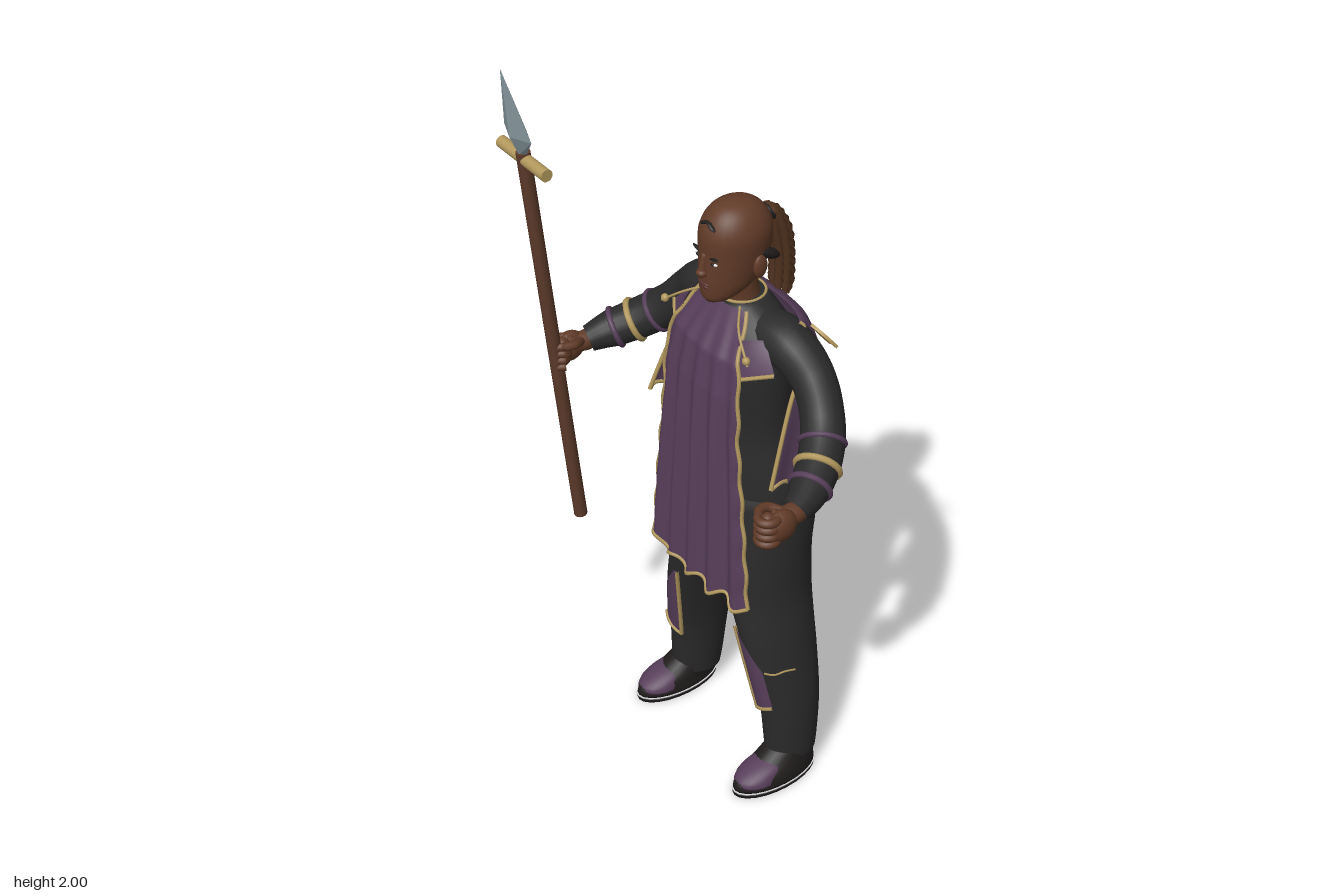
import * as THREE from 'three';
import { ParametricGeometry } from 'three/addons/geometries/ParametricGeometry.js';

const CX = 0.03; // body centre line
const V = (x, y, z) => new THREE.Vector3(x, y, z);
const lerp = THREE.MathUtils.lerp;
const mat = (name, color, side = THREE.FrontSide) => Object.assign(new THREE.MeshStandardMaterial({ color, side }), { name });

// Smooth closed body through horizontal ellipses [x, y, z, rx, rz], bottom to top
function loft(sections, segs = 24, rings = 30) {
  const centres = new THREE.CatmullRomCurve3(sections.map(s => V(s[0], s[1], s[2])), false, 'catmullrom', 0.5);
  const radii = new THREE.CatmullRomCurve3(sections.map(s => V(s[3], s[4], 0)), false, 'catmullrom', 0.5);
  const pos = [], idx = [];
  for (let i = 0; i <= rings; i++) {
    const c = centres.getPoint(i / rings), r = radii.getPoint(i / rings);
    for (let j = 0; j < segs; j++) {
      const a = j / segs * Math.PI * 2;
      pos.push(c.x + r.x * Math.cos(a), c.y, c.z + r.y * Math.sin(a));
    }
  }
  const low = pos.length / 3, last = sections.length - 1;
  pos.push(...sections[0].slice(0, 3), ...sections[last].slice(0, 3));
  for (let j = 0; j < segs; j++) {
    const k = (j + 1) % segs, top = rings * segs;
    for (let i = 0; i < rings; i++) {
      const a = i * segs + j, b = i * segs + k;
      idx.push(a, a + segs, b, b, a + segs, b + segs);
    }
    idx.push(low, j, k, low + 1, top + k, top + j);
  }
  const g = new THREE.BufferGeometry();
  g.setAttribute('position', new THREE.Float32BufferAttribute(pos, 3));
  g.setIndex(idx);
  g.computeVertexNormals();
  return g;
}

// Tube whose radius follows a function of its length
function sweep(curve, radius, steps = 32, sides = 14) {
  const g = new THREE.TubeGeometry(curve, steps, 1, sides), p = g.attributes.position, v = V(0, 0, 0);
  for (let i = 0; i <= steps; i++) {
    const c = curve.getPointAt(i / steps), r = radius(i / steps);
    for (let j = 0; j <= sides; j++) {
      const n = i * (sides + 1) + j;
      v.fromBufferAttribute(p, n).sub(c).multiplyScalar(r).add(c);
      p.setXYZ(n, v.x, v.y, v.z);
    }
  }
  return g;
}
const table = list => t => {
  const f = t * (list.length - 1), i = Math.min(Math.floor(f), list.length - 2);
  return lerp(list[i], list[i + 1], f - i);
};
const squarer = x => Math.sign(x) * Math.pow(Math.abs(x), 0.75);

export function createModel() {
  const model = new THREE.Group();
  const suit = mat('black cloth', 0x2a2a2b), purple = mat('purple cloth', 0x573e5a, THREE.DoubleSide);
  const skin = mat('brown skin', 0x613b28), gold = mat('gold trim', 0xb2985d);
  const steel = mat('steel', 0x87979f), wood = mat('wood', 0x5c3a2a);
  const braid = mat('braid brown', 0x50321f), dark = mat('dark hair', 0x211d1d);
  const white = mat('white', 0xdcdcdc), lip = mat('lips', 0x55302a);

  const add = (name, geo, m, parent = model) => {
    const mesh = new THREE.Mesh(geo, m);
    mesh.name = name;
    parent.add(mesh);
    return mesh;
  };
  const ball = (name, m, p, r, parent) => {
    const b = add(name, new THREE.SphereGeometry(1, 16, 12), m, parent);
    b.position.set(...p);
    b.scale.set(...r);
    return b;
  };
  // Cloth sheet with gold tubes along the chosen edges
  const cloth = (name, fn, nu, nv, edges) => {
    add(name, new ParametricGeometry(fn, nu, nv), purple);
    for (const e of edges) {
      const pts = [];
      for (let i = 0; i <= 40; i++) {
        const t = i / 40, q = V(0, 0, 0);
        fn(e === 'left' ? 0 : e === 'right' ? 1 : t, e === 'bottom' ? 1 : t, q);
        pts.push(q);
      }
      add(name + ' trim', new THREE.TubeGeometry(new THREE.CatmullRomCurve3(pts), 80, 0.0058, 6), gold);
    }
  };

  // Torso, collar, neck and head
  add('torso', loft([[CX, 0.74, -0.09, 0.06, 0.06], [CX, 0.81, -0.1, 0.165, 0.108], [CX, 0.9, -0.102, 0.204, 0.134],
    [CX, 1.0, -0.092, 0.19, 0.122], [CX, 1.12, -0.085, 0.165, 0.11], [CX, 1.28, -0.075, 0.172, 0.113],
    [CX, 1.38, -0.08, 0.17, 0.105], [CX, 1.43, -0.085, 0.125, 0.08], [CX, 1.47, -0.08, 0.062, 0.058]]), suit);
  const collar = add('collar edge', new THREE.TorusGeometry(0.06, 0.004, 6, 32), gold);
  collar.position.set(CX, 1.469, -0.08);
  collar.rotation.x = Math.PI / 2;
  add('neck', loft([[CX, 1.42, -0.085, 0.056, 0.054], [CX, 1.49, -0.07, 0.05, 0.05], [CX, 1.56, -0.06, 0.05, 0.055]], 20, 8), skin);
  add('head', loft([[CX, 1.475, 0, 0.02, 0.025], [CX, 1.49, -0.01, 0.043, 0.045], [CX, 1.52, -0.035, 0.062, 0.073],
    [CX, 1.56, -0.05, 0.072, 0.088], [CX, 1.61, -0.058, 0.079, 0.095], [CX, 1.66, -0.06, 0.081, 0.095],
    [CX, 1.7, -0.06, 0.066, 0.077], [CX, 1.725, -0.06, 0.04, 0.048], [CX, 1.735, -0.06, 0.008, 0.01]], 28, 36), skin);

  // Face
  ball('nose tip', skin, [CX, 1.562, 0.04], [0.015, 0.011, 0.015]);
  add('nose bridge', loft([[CX, 1.56, 0.038, 0.012, 0.014], [CX, 1.585, 0.035, 0.009, 0.012], [CX, 1.615, 0.031, 0.008, 0.008]], 12, 8), skin);
  ball('upper lip', lip, [CX, 1.532, 0.034], [0.023, 0.005, 0.009]);
  ball('lower lip', lip, [CX, 1.523, 0.032], [0.02, 0.006, 0.009]);
  for (const s of [-1, 1]) {
    ball('eye', white, [CX + s * 0.031, 1.596, 0.026], [0.012, 0.004, 0.006]);
    ball('pupil', dark, [CX + s * 0.03, 1.596, 0.03], [0.006, 0.0045, 0.004]);
    ball('eyebrow', dark, [CX + s * 0.032, 1.611, 0.029], [0.02, 0.004, 0.005]).rotation.z = s * 0.15;
    ball('ear', skin, [CX + s * 0.08, 1.578, -0.075], [0.01, 0.031, 0.02]);
    ball('side hair streak', dark, [CX + s * 0.064, 1.595, -0.112], [0.016, 0.014, 0.036]).rotation.x = -0.5;
    ball('brow hair curl', dark, [CX + s * 0.014, 1.69, 0.022], [0.016, 0.0045, 0.008]).rotation.z = -s * 0.5;
  }

  // Braided ponytail
  for (let i = 0; i < 8; i++) {
    const a = i / 7 * Math.PI * 2, r = i < 7 ? 1 : 0, dx = r * Math.cos(a) * 0.024, dz = r * Math.sin(a) * 0.021;
    const path = new THREE.CatmullRomCurve3([V(CX, 1.66, -0.135), V(CX + dx * 0.5, 1.672, -0.16 + dz * 0.3),
      V(CX + dx * 0.9, 1.62, -0.185 + dz), V(CX + dx, 1.53, -0.2 + dz), V(CX + dx * 0.8, 1.41 + (i % 3) * 0.015, -0.2 + dz)]);
    add('braid', sweep(path, t => (0.0125 + 0.002 * Math.sin(t * 75)) * Math.min(1, (1.02 - t) * 8), 50, 8), braid);
  }
  const tie = add('hair tie', new THREE.TorusGeometry(0.019, 0.008, 8, 20), dark);
  tie.position.set(CX, 1.665, -0.155);
  tie.rotation.x = 0.5;

  for (const s of [-1, 1]) {
    const X = d => CX + s * d;
    // Trousers and shoes
    add('leg', loft([[X(0.22), 0.06, -0.1, 0.058, 0.07], [X(0.22), 0.1, -0.1, 0.061, 0.078], [X(0.21), 0.25, -0.1, 0.066, 0.09],
      [X(0.183), 0.4, -0.09, 0.07, 0.108], [X(0.16), 0.5, -0.086, 0.076, 0.115], [X(0.13), 0.6, -0.087, 0.088, 0.122],
      [X(0.112), 0.72, -0.09, 0.1, 0.126], [X(0.105), 0.82, -0.1, 0.1, 0.13], [X(0.1), 0.93, -0.1, 0.095, 0.115]]), suit);
    const shoe = (name, y0, y1, z, rx, rz, m) => add(name, loft([[X(0.232), y0, z, rx, rz], [X(0.232), y1, z, rx, rz]], 24, 1), m);
    shoe('sole', 0, 0.012, -0.035, 0.061, 0.134, dark);
    shoe('sole line', 0.012, 0.017, -0.035, 0.063, 0.136, white);
    add('shoe', loft([[X(0.232), 0.017, -0.035, 0.061, 0.133], [X(0.232), 0.045, -0.04, 0.059, 0.124],
      [X(0.228), 0.075, -0.07, 0.054, 0.088], [X(0.225), 0.11, -0.1, 0.05, 0.068]], 24, 12), dark);
    add('toe panel', loft([[X(0.232), 0.03, 0.018, 0.055, 0.074], [X(0.232), 0.048, 0.01, 0.053, 0.072],
      [X(0.232), 0.07, -0.015, 0.044, 0.055], [X(0.23), 0.085, -0.035, 0.026, 0.03]], 20, 10), purple);

    // Shin panel on the leg front, and a knee seam at its side
    cloth('shin panel', (u, v, q) => {
      const d = lerp(0.158, 0.212, v), rx = lerp(0.077, 0.066, v), rz = lerp(0.115, 0.09, v);
      const a = lerp(lerp(-0.3, -0.5, v), lerp(-0.2, 0.5, Math.min(1, v * 2)), u);
      q.set(X(d + Math.sin(a) * (rx + 0.006)), lerp(0.52, 0.235, v) + 0.04 * v * u, lerp(-0.086, -0.1, v) + Math.cos(a) * (rz + 0.007));
    }, 10, 14, ['left', 'bottom']);
    const seam = [0.6, 0.9, 1.2, 1.5].map((a, i) => V(X(0.184 + Math.sin(a) * 0.071), 0.395 - (i % 2) * 0.006, -0.09 + Math.cos(a) * 0.109));
    add('knee seam', new THREE.TubeGeometry(new THREE.CatmullRomCurve3(seam), 16, 0.003, 5), gold);

    // Arm with cuff bands
    const arm = new THREE.CatmullRomCurve3([V(X(0.07), 1.39, -0.09), V(X(0.17), 1.388, -0.1), V(X(0.25), 1.33, -0.112),
      V(X(0.32), 1.25, -0.09), V(X(0.38), 1.195, -0.035), V(X(0.43), 1.155, 0.045), V(X(0.445), 1.14, 0.09)]);
    const thick = table([0.06, 0.066, 0.061, 0.056, 0.055, 0.056, 0.055, 0.051, 0.036]);
    add('arm', sweep(arm, thick, 40, 18), suit);
    for (const [t, w, m, name] of [[0.64, 0.007, purple, 'purple cuff band'], [0.76, 0.009, gold, 'gold bracelet'],
      [0.86, 0.008, purple, 'purple cuff band']]) {
      const band = add(name, new THREE.TorusGeometry(thick(t) - 0.001, w, 8, 28), m);
      band.position.copy(arm.getPointAt(t));
      band.quaternion.setFromUnitVectors(V(0, 0, 1), arm.getTangentAt(t));
    }

    // Closed hand
    const hand = new THREE.Group();
    hand.name = 'hand';
    hand.position.set(X(0.447), 1.13, 0.17);
    model.add(hand);
    ball('wrist', skin, [0, 0.008, -0.075], [0.028, 0.028, 0.05], hand);
    ball('palm', skin, [s * 0.012, 0, -0.03], [0.029, 0.044, 0.045], hand);
    ball('inner palm', skin, [0, 0, 0], [0.026, 0.044, 0.026], hand);
    for (let i = 0; i < 4; i++) {
      const finger = add('finger', new THREE.TorusGeometry(0.024, 0.0115, 8, 18, Math.PI * 1.5), skin, hand);
      finger.position.set(0, 0.03 - i * 0.021, 0);
      finger.rotation.set(Math.PI / 2, 0, s > 0 ? -Math.PI * 0.6 : Math.PI * 0.1);
    }
    const thumb = new THREE.CatmullRomCurve3([V(-s * 0.012, 0.02, -0.05), V(-s * 0.033, 0.032, -0.02), V(-s * 0.028, 0.034, 0.02)]);
    add('thumb', sweep(thumb, t => 0.0125 * Math.min(1, (1.03 - t) * 6), 14, 8), skin, hand);

    // Shoulder flap, chest cord, brooch and rear shoulder leaf
    cloth('shoulder flap', (u, v, q) => q.set(X(lerp(lerp(0.11, 0.13, v), lerp(0.15, 0.21, v), u)),
      lerp(1.415, 1.315, v) + 0.035 * v * u, lerp(0.015, 0.03, v) - 0.055 * u), 8, 8, ['bottom']);
    add('chest cord', new THREE.TubeGeometry(new THREE.CatmullRomCurve3([V(X(0.06), 1.468, -0.03), V(X(0.11), 1.44, 0.01),
      V(X(0.18), 1.385, 0.035)]), 16, 0.0035, 6), gold);
    ball('brooch', gold, [X(0.17), 1.395, 0.032], [0.011, 0.011, 0.01]);
    const leaf = new THREE.Shape().moveTo(0, 0.04).quadraticCurveTo(0.035, 0.01, 0.01, -0.045)
      .lineTo(0, -0.015).lineTo(-0.022, -0.035).quadraticCurveTo(-0.035, 0.01, 0, 0.04);
    const plate = add('shoulder leaf', new THREE.ExtrudeGeometry(leaf, { depth: 0.008, bevelEnabled: false }), gold);
    plate.position.set(X(0.205), 1.41, -0.178);
    plate.rotation.set(0.65, 0, s * 0.6);
  }

  // Pleated front panel
  const halfWidth = table([0.085, 0.135, 0.158, 0.163, 0.174, 0.185, 0.195, 0.203, 0.21]);
  const depth = table([-0.01, 0.05, 0.065, 0.07, 0.072, 0.074, 0.076, 0.077, 0.078]);
  cloth('front panel', (u, v, q) => {
    const a = u * 2 - 1;
    q.set(CX + a * halfWidth(v) + Math.pow(a, 8) * a * 0.004 * Math.sin(v * 45), lerp(1.467, 0.635, v) + 0.012 * v * Math.sin(a * 13),
      depth(v) + 0.011 * Math.min(1, v * 2) * Math.sin(a * 15 + v * 1.5) - 0.022 * a * a);
  }, 60, 48, ['left', 'right', 'bottom']);

  // Short back cape, squarish in plan with soft folds
  cloth('cape', (u, v, q) => {
    const a = u * 2 - 1, turn = a * lerp(1.1, 1.95, Math.pow(v, 0.6)), fold = 1 + 0.045 * v * Math.sin(a * 19 + 1);
    q.set(CX + squarer(Math.sin(turn)) * lerp(0.19, 0.268, v) * fold, lerp(1.45, 1.05, v) + 0.012 * v * Math.cos(a * 20),
      lerp(-0.085, -0.08, v) - squarer(Math.cos(turn)) * lerp(0.07, 0.205, Math.pow(v, 0.42)) * fold);
  }, 84, 28, ['left', 'right', 'bottom']);

  // Spear, leaning forward
  const spear = new THREE.Group();
  spear.name = 'spear';
  spear.position.set(-0.415, 0.57, 0.137);
  spear.rotation.x = 0.1;
  model.add(spear);
  add('shaft', new THREE.CylinderGeometry(0.0185, 0.0185, 1.195, 14), wood, spear).position.y = 0.5975;
  const bar = add('crossbar', new THREE.CylinderGeometry(0.0165, 0.0165, 0.208, 14), gold, spear);
  bar.rotation.z = Math.PI / 2;
  bar.position.y = 1.175;
  const blade = loft([[0, 1.19, 0, 0.014, 0.012], [0, 1.25, 0.006, 0.062, 0.024], [0, 1.436, 0.025, 0.0005, 0.0005]], 4, 2).toNonIndexed();
  blade.computeVertexNormals();
  add('spear blade', blade, steel, spear);

  return model;
}
